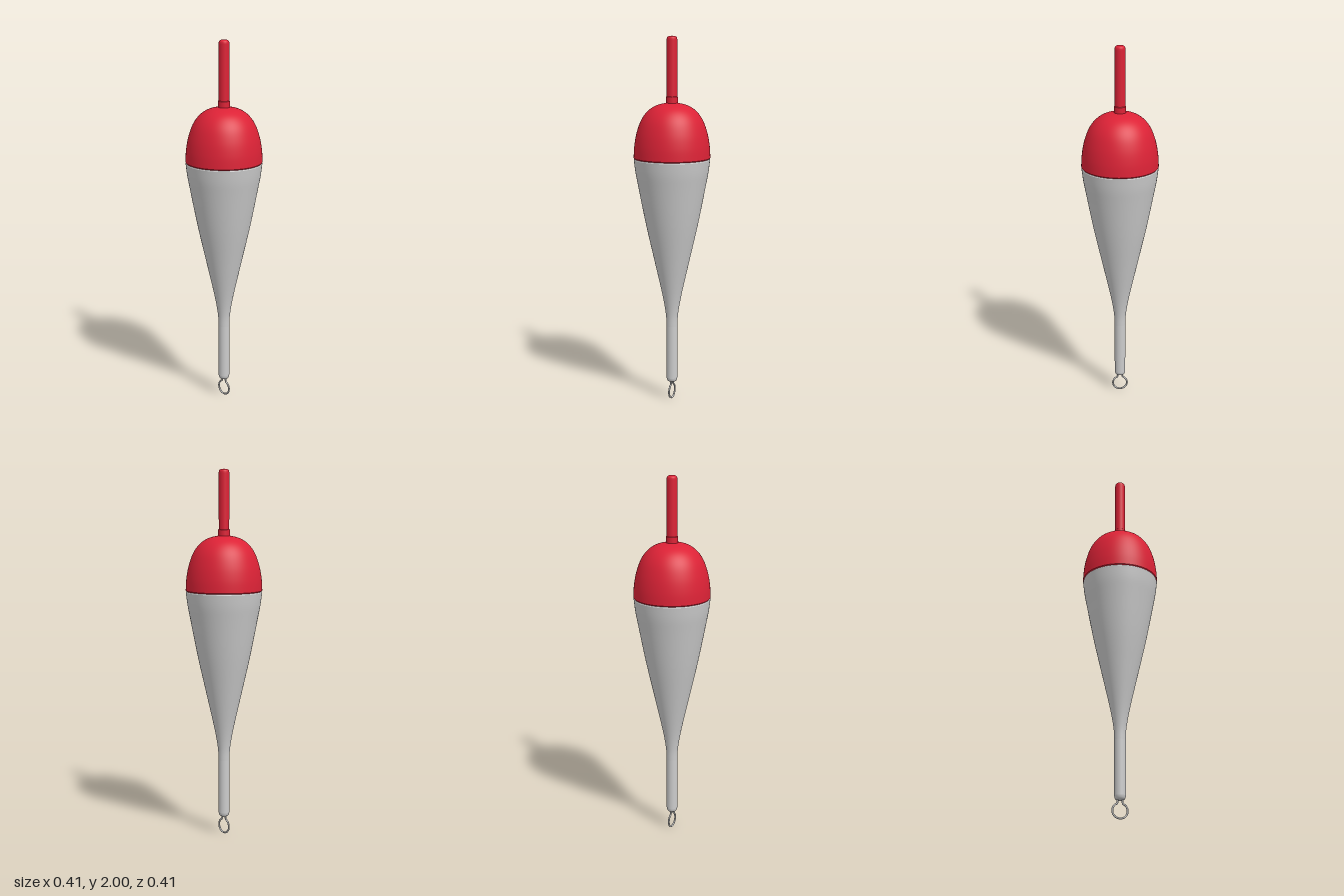
import * as THREE from 'three';

const grey = new THREE.MeshStandardMaterial({ color: 0xcccccc });
const red = new THREE.MeshStandardMaterial({ color: 0xdc2236 });

const points = (list) => list.map(([r, y]) => new THREE.Vector2(r, y));
const smooth = (list, n = 40) => new THREE.SplineCurve(points(list)).getPoints(n);

// Each section is turned separately, so edges between sections stay sharp
function turned(name, material, ...sections) {
  const part = new THREE.Group();
  part.name = name;
  for (const profile of sections) {
    const mesh = new THREE.Mesh(new THREE.LatheGeometry(profile, 64), material);
    mesh.name = name + 'Surface';
    part.add(mesh);
  }
  return part;
}

export function createModel() {
  const model = new THREE.Group();
  model.name = 'fishingFloat';

  // Long tapering lower body running into a thin stem with a rounded foot
  model.add(turned('lowerBody', grey,
    smooth([[0.001, 0.1], [0.02, 0.102], [0.027, 0.11], [0.03, 0.122]], 12),
    points([[0.03, 0.122], [0.03, 0.42]]),
    smooth([[0.03, 0.42], [0.034, 0.49], [0.053, 0.6], [0.098, 0.8], [0.143, 1.0],
      [0.182, 1.2], [0.197, 1.28], [0.205, 1.345]]),
    points([[0.205, 1.345], [0.202, 1.352]])));

  // Domed cap
  model.add(turned('cap', red,
    points([[0.202, 1.35], [0.206, 1.356]]),
    smooth([[0.206, 1.356], [0.202, 1.42], [0.189, 1.49], [0.165, 1.556], [0.13, 1.604],
      [0.085, 1.634], [0.03, 1.648], [0, 1.65]])));

  // Small collar where the antenna enters the cap
  model.add(turned('collar', red,
    points([[0.031, 1.63], [0.031, 1.68]]),
    points([[0.031, 1.68], [0.026, 1.684]])));

  // Antenna with a rounded tip
  model.add(turned('antenna', red,
    points([[0.028, 1.64], [0.028, 1.98]]),
    smooth([[0.028, 1.98], [0.026, 1.991], [0.017, 1.998], [0, 2]], 12)));

  // Wire line eye, its two ends bending up into the stem
  const path = [[-0.012, 0.12], [-0.012, 0.1]];
  for (let i = 0; i <= 24; i++) {
    const a = Math.PI / 2 + 0.42 + (i / 24) * (2 * Math.PI - 0.84);
    path.push([0.04 * Math.cos(a), 0.045 + 0.04 * Math.sin(a)]);
  }
  path.push([0.012, 0.1], [0.012, 0.12]);
  const curve = new THREE.CatmullRomCurve3(path.map(([x, y]) => new THREE.Vector3(x, y, 0)));
  const eye = new THREE.Mesh(new THREE.TubeGeometry(curve, 120, 0.005, 10), grey);
  eye.name = 'lineEye';
  model.add(eye);

  return model;
}
